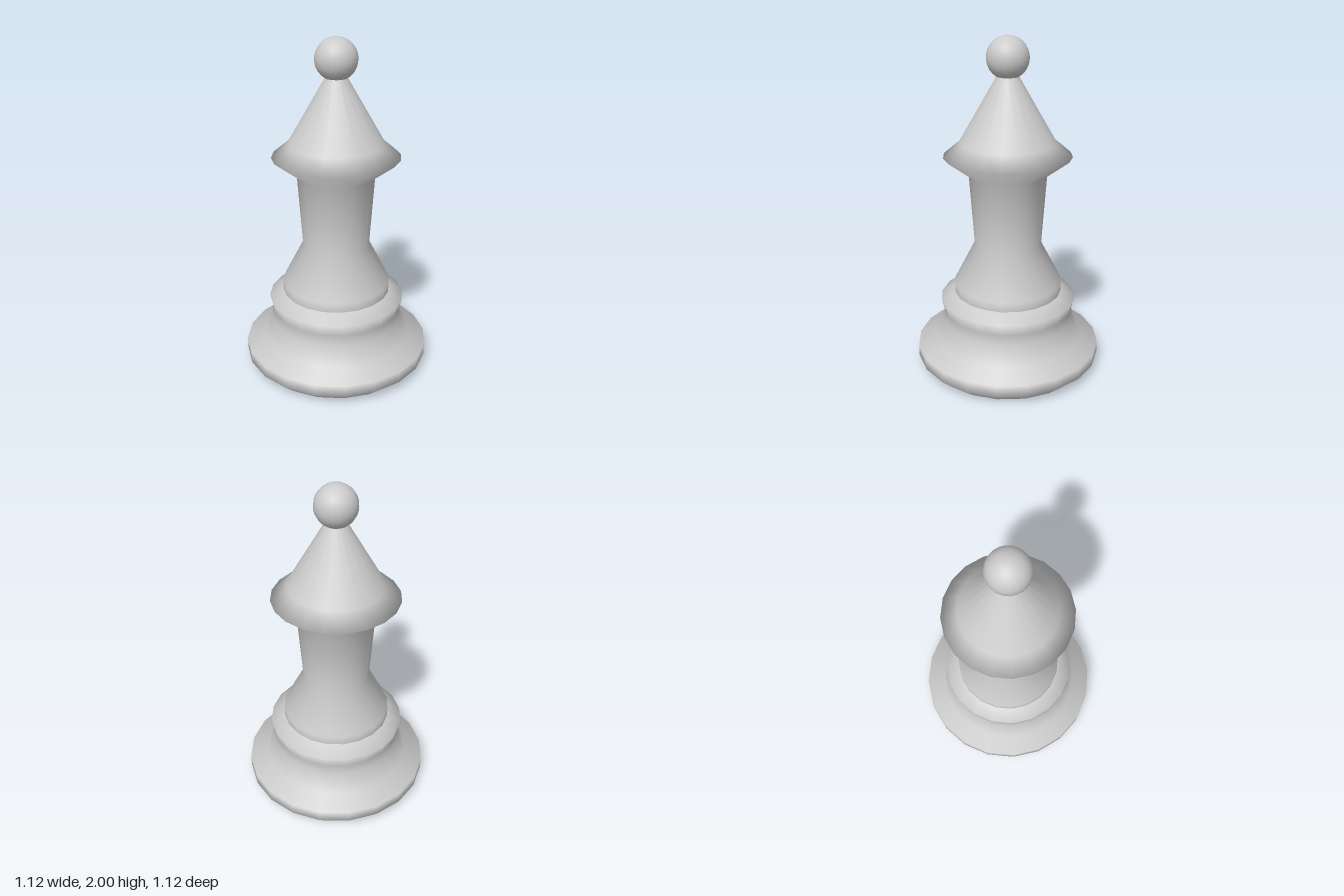
import * as THREE from 'three';

const SIDES = 20;

export function createModel() {
  const group = new THREE.Group();
  const material = new THREE.MeshStandardMaterial({ color: 0xcccccc });

  const add = (name, geometry) => {
    const mesh = new THREE.Mesh(geometry, material);
    mesh.name = name;
    group.add(mesh);
    return mesh;
  };
  // Turned part from a profile of [radius, height], listed bottom to top
  const turned = (name, profile) =>
    add(name, new THREE.LatheGeometry(profile.map(([r, y]) => new THREE.Vector2(r, y)), SIDES));

  // Flat underside, kept apart for a sharp edge
  turned('underside', [[0, 0], [0.495, 0]]);

  // Wide foot, concave waist and collar
  turned('base', [
    [0.495, 0], [0.56, 0.06], [0.56, 0.13], [0.445, 0.18], [0.4, 0.3],
    [0.393, 0.36], [0.41, 0.43], [0.325, 0.473],
  ]);

  // Flared stem, rim and conical head
  turned('stemAndHead', [
    [0.325, 0.473], [0.325, 0.53], [0.2, 0.775], [0.23, 1.21],
    [0.375, 1.32], [0.28, 1.4], [0.06, 1.78],
  ]);

  // Ball on the tip
  add('finial', new THREE.SphereGeometry(0.122, SIDES, 16)).position.y = 1.878;

  return group;
}
